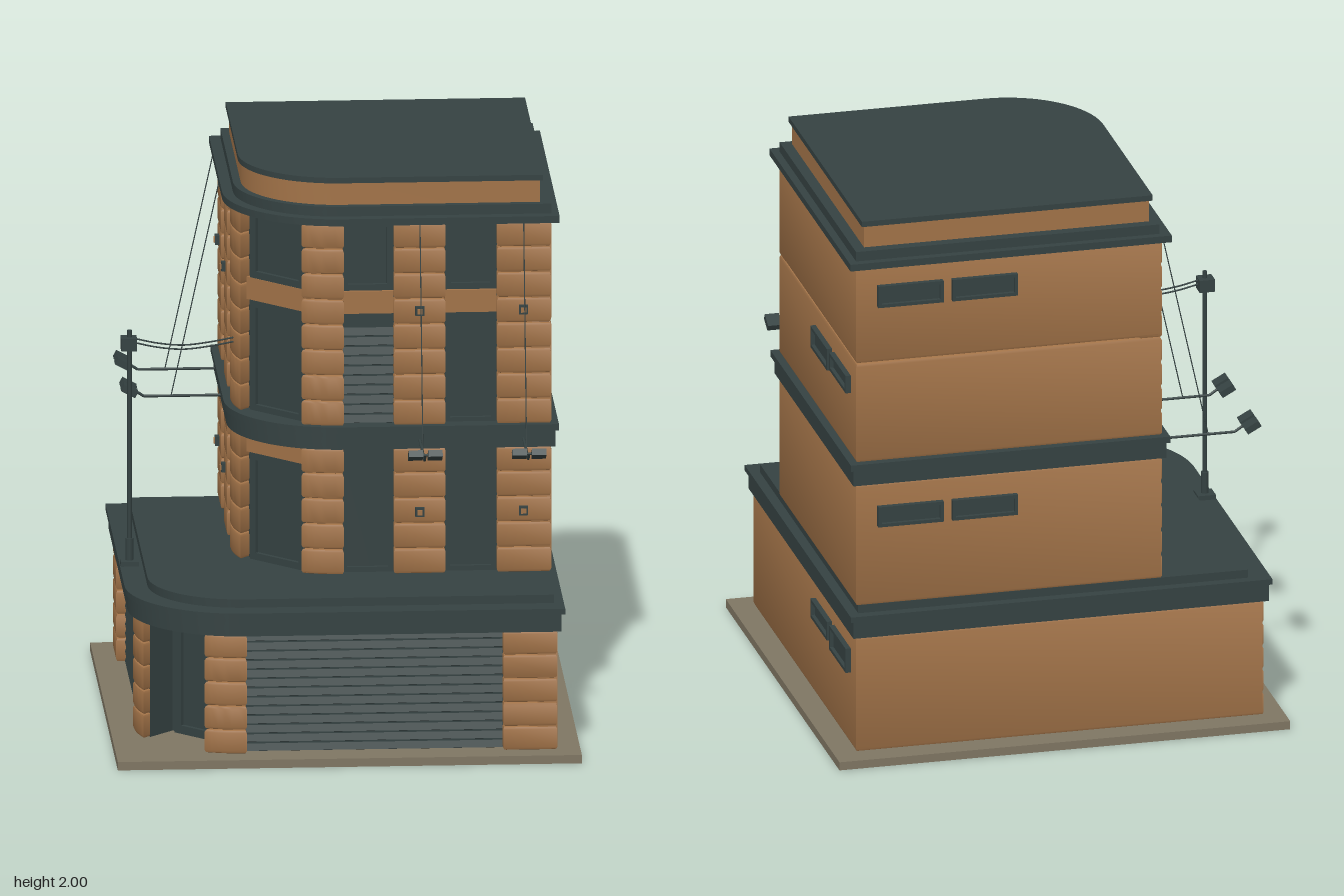
import * as THREE from 'three';
import { toCreasedNormals } from 'three/addons/utils/BufferGeometryUtils.js';

const brick = new THREE.MeshStandardMaterial({ name: 'brick brown', color: 0xa27348 });
const trim = new THREE.MeshStandardMaterial({ name: 'dark slate', color: 0x354242 });
const paving = new THREE.MeshStandardMaterial({ name: 'paving', color: 0x7f7663 });

function add(parent, name, geo, mat) {
  const mesh = new THREE.Mesh(geo, mat);
  mesh.name = name;
  parent.add(mesh);
  return mesh;
}

// Box given by its limits
function box(parent, name, mat, x0, x1, y0, y1, z0, z1) {
  const m = add(parent, name, new THREE.BoxGeometry(x1 - x0, y1 - y0, z1 - z0), mat);
  m.position.set((x0 + x1) / 2, (y0 + y1) / 2, (z0 + z1) / 2);
  return m;
}

// Upright prism over a plan of [x, z] points, with optional bevelled edges
function prism(parent, name, mat, plan, y0, y1, bevel = 0) {
  const shape = new THREE.Shape(plan.map(([x, z]) => new THREE.Vector2(x, -z)));
  const geo = new THREE.ExtrudeGeometry(shape, {
    depth: y1 - y0 - 2 * bevel, bevelEnabled: bevel > 0,
    bevelSize: bevel, bevelThickness: bevel, bevelOffset: -bevel, bevelSegments: 2,
  });
  geo.rotateX(-Math.PI / 2).translate(0, y0 + bevel, 0);
  return add(parent, name, toCreasedNormals(geo, 0.5), mat);
}

// Square plan with a round front right-hand street corner
function roundPlan(x0, x1, z0, z1, r) {
  const plan = [[x1, z1], [x1, z0], [x0, z0]];
  for (let i = 0; i <= 20; i++) {
    const a = (i / 20) * Math.PI / 2;
    plan.push([x0 + r - r * Math.cos(a), z1 - r + r * Math.sin(a)]);
  }
  return plan;
}

function rod(parent, name, a, b, r) {
  const from = new THREE.Vector3(...a), to = new THREE.Vector3(...b);
  const dir = to.clone().sub(from);
  const m = add(parent, name, new THREE.CylinderGeometry(r, r, dir.length(), 8), trim);
  m.position.copy(from).add(to).multiplyScalar(0.5);
  m.quaternion.setFromUnitVectors(new THREE.Vector3(0, 1, 0), dir.normalize());
}

// Window or door surround with a raised inner panel
function frame(parent, name, cx, y0, y1, w, out, t = 0.018) {
  const x0 = cx - w / 2, x1 = cx + w / 2, f = out + 0.014;
  box(parent, name + 'Left', trim, x0, x0 + t, y0, y1, out - 0.01, f);
  box(parent, name + 'Right', trim, x1 - t, x1, y0, y1, out - 0.01, f);
  box(parent, name + 'Top', trim, x0 + t, x1 - t, y1 - t, y1, out - 0.01, f);
  box(parent, name + 'Bottom', trim, x0 + t, x1 - t, y0, y0 + t, out - 0.01, f);
}

function slats(parent, name, x0, x1, y0, y1, n, out) {
  const step = (y1 - y0) / n;
  for (let i = 0; i < n; i++) {
    const y = y0 + i * step;
    const m = box(parent, name, trim, x0, x1, y + step * 0.08, y + step * 0.86, out - 0.006, out + 0.006);
    m.rotation.x = -0.3;
  }
}

// Stack of rusticated blocks
function pilaster(parent, plan, y0, y1, n) {
  const h = (y1 - y0) / n;
  for (let i = 0; i < n; i++) prism(parent, 'pilasterBlock', brick, plan, y0 + i * h, y0 + (i + 1) * h, 0.011);
}

const rect = (a, b, z0, z1) => [[a, z0], [b, z0], [b, z1], [a, z1]];

// Curved pilaster at the start of the round corner
function arcPlan(s, cx, cz, R) {
  const plan = [[s * (cx + 0.005), cz + R - 0.07], [s * (cx + 0.005), cz + R]];
  for (let i = 0; i <= 6; i++) {
    const a = (i / 6) * 0.39;
    plan.push([s * (cx - R * Math.sin(a)), cz + R * Math.cos(a)]);
  }
  const [ex, ez] = plan[plan.length - 1];
  plan.push([ex + s * 0.045, ez - 0.045]);
  return plan;
}

// One street facade, built facing +z; s = -1 gives the mirrored one on the side street
function facade(s) {
  const g = new THREE.Group();
  g.name = s > 0 ? 'frontFacade' : 'sideFacade';
  const span = (a, b) => (s > 0 ? [a, b] : [-b, -a]);

  // Ground floor
  pilaster(g, rect(...span(0.54, 0.728), 0.64, 0.735), 0.03, 0.46, 5);
  pilaster(g, arcPlan(s, -0.36, 0.36, 0.37), 0.03, 0.46, 5);
  slats(g, 'rollerShutterSlat', ...span(-0.36, 0.54), 0.03, 0.46, 13, 0.695);

  // Upper floors
  for (const [y0, y1, n] of [[0.575, 1.03, 5], [1.11, 1.84, 8]]) {
    pilaster(g, rect(...span(0.54, 0.728), 0.29, 0.37), y0, y1, n);
    pilaster(g, rect(...span(0.18, 0.36), 0.29, 0.37), y0, y1, n);
    pilaster(g, arcPlan(s, 0, 0, 0.37), y0, y1, n);
  }
  for (const u of [0.09, 0.45]) {
    frame(g, 'lowerWindowFrame', s * u, 0.575, 1.03, 0.18, 0.32);
    frame(g, 'topWindowFrame', s * u, 1.59, 1.84, 0.18, 0.32, 0.022);
    box(g, 'spandrel', brick, s * u - 0.09, s * u + 0.09, 1.51, 1.59, 0.31, 0.347);
  }
  frame(g, 'middleWindowFrame', s * 0.45, 1.11, 1.51, 0.18, 0.32);
  slats(g, 'louverSlat', ...span(0, 0.18), 1.11, 1.46, 10, 0.33);
  box(g, 'louverHeader', trim, ...span(0, 0.18), 1.465, 1.51, 0.31, 0.34);

  // Wall lamps, spotlights and their stay cables
  for (const u of [0.27, 0.632]) {
    const x = s * u;
    for (const y of [0.8, 1.525]) {
      box(g, 'wallLamp', trim, x - 0.016, x + 0.016, y - 0.016, y + 0.016, 0.36, 0.385);
      box(g, 'wallLampLens', brick, x - 0.009, x + 0.009, y - 0.009, y + 0.009, 0.385, 0.39);
    }
    rod(g, 'spotlightArm', [x, 1.06, 0.38], [x, 1.06, 0.655], 0.005);
    rod(g, 'spotlightBracket', [x, 1.06, 0.655], [x, 1.09, 0.7], 0.005);
    rod(g, 'spotlightBar', [x - 0.05, 1.09, 0.7], [x + 0.05, 1.09, 0.7], 0.004);
    rod(g, 'stayCable', [x, 1.85, 0.388], [x, 1.06, 0.56], 0.002);
    for (const d of [-0.034, 0.034]) {
      const head = box(g, 'spotlightHead', trim, x + d - 0.025, x + d + 0.025, 1.08, 1.104, 0.68, 0.735);
      head.rotation.x = -0.5;
    }
  }
  if (s < 0) g.rotation.y = -Math.PI / 2;
  return g;
}

// Small high windows on a blank wall, built facing +z
function blankWallWindows(name, s, heights, angle) {
  const g = new THREE.Group();
  g.name = name;
  for (const [ya, yb, yc] of heights) {
    for (const [u, y0] of [[0.27, ya], [0.537, yb]]) {
      const x = s * u;
      box(g, 'smallWindowGlass', trim, x - 0.115, x + 0.115, y0, yc, 0.72, 0.736);
      frame(g, 'smallWindowFrame', x, y0, yc, 0.235, 0.735, 0.012);
    }
  }
  g.rotation.y = angle;
  return g;
}

export function createModel() {
  const model = new THREE.Group();
  model.name = 'cornerBuilding';
  box(model, 'pavement', paving, -0.81, 0.81, 0, 0.03, -0.81, 0.81);

  // Recessed cores that show as glazing and shutter backs
  prism(model, 'groundCore', trim, [[0.69, 0.68], [0.69, -0.69], [-0.68, -0.69], [-0.68, 0.36],
    [-0.678, 0.478], [-0.594, 0.394], [-0.394, 0.594], [-0.478, 0.678], [-0.36, 0.68]], 0.03, 0.46);
  prism(model, 'upperCore', trim, [[0.69, 0.32], [0.69, -0.69], [-0.32, -0.69], [-0.32, 0],
    [-0.309, 0.109], [-0.109, 0.309], [0, 0.32]], 0.56, 1.85);

  // Blank brick walls on the two far sides
  for (const [y0, y1, f] of [[0.03, 0.46, 0.73], [0.575, 1.03, 0.365], [1.11, 1.48, 0.365], [1.48, 1.84, 0.365]]) {
    prism(model, 'blankWall', brick,
      [[0.73, -0.73], [0.73, f], [0.66, f], [0.66, -0.66], [-f, -0.66], [-f, -0.73]], y0, y1, 0.012);
  }

  // Cornices, parapet and roof: limits, corner radius, heights
  const layer = (name, mat, x0, x1, r, y0, y1) =>
    prism(model, name, mat, roundPlan(x0, x1, -x1, -x0, r), y0, y1);
  layer('groundCornice', trim, -0.75, 0.743, 0.39, 0.46, 0.525);
  layer('groundCorniceLip', trim, -0.76, 0.755, 0.4, 0.525, 0.545);
  layer('terrace', trim, -0.68, 0.72, 0.32, 0.545, 0.575);
  layer('middleCornice', trim, -0.383, 0.743, 0.383, 1.03, 1.09);
  layer('middleCorniceLip', trim, -0.393, 0.755, 0.393, 1.09, 1.113);
  layer('topCornice', trim, -0.398, 0.757, 0.398, 1.84, 1.865);
  layer('topCorniceStep', trim, -0.36, 0.73, 0.36, 1.865, 1.9);
  layer('parapet', brick, -0.333, 0.692, 0.333, 1.9, 1.98);
  layer('roof', trim, -0.343, 0.702, 0.343, 1.98, 2);

  model.add(facade(1), facade(-1));
  model.add(blankWallWindows('sideWindows', 1, [[0.32, 0.3, 0.39], [1.33, 1.345, 1.41]], Math.PI / 2));
  model.add(blankWallWindows('backWindows', -1, [[0.87, 0.87, 0.945], [1.69, 1.69, 1.77]], Math.PI));

  // Diagonal corner bay
  const upper = new THREE.Group();
  upper.name = 'cornerBay';
  upper.rotation.y = -Math.PI / 4;
  frame(upper, 'cornerLowerWindow', 0, 0.575, 0.96, 0.25, 0.296, 0.025);
  frame(upper, 'cornerMiddleWindow', 0, 1.11, 1.51, 0.25, 0.296, 0.025);
  frame(upper, 'cornerTopWindow', 0, 1.59, 1.84, 0.25, 0.296, 0.025);
  box(upper, 'cornerLintel', brick, -0.14, 0.14, 0.96, 1.03, 0.28, 0.312);
  box(upper, 'cornerSpandrel', brick, -0.14, 0.14, 1.51, 1.59, 0.28, 0.312);
  model.add(upper);

  // Corner entrance
  const entrance = new THREE.Group();
  entrance.name = 'cornerEntrance';
  entrance.position.set(-0.36, 0, 0.36);
  entrance.rotation.y = -Math.PI / 4;
  frame(entrance, 'entranceDoorFrame', 0, 0.03, 0.45, 0.24, 0.19, 0.03);
  box(entrance, 'entranceDoor', trim, -0.07, 0.07, 0.09, 0.42, 0.18, 0.196);
  model.add(entrance);

  // Utility pole with sagging wires
  const px = -0.725, pz = 0.07;
  box(model, 'poleFoot', trim, px - 0.032, px + 0.032, 0.545, 0.562, pz - 0.032, pz + 0.032);
  rod(model, 'poleBase', [px, 0.55, pz], [px, 0.64, pz], 0.014);
  rod(model, 'pole', [px, 0.64, pz], [px, 1.39, pz], 0.008);
  box(model, 'poleBox', trim, px - 0.03, px + 0.025, 1.32, 1.365, pz - 0.028, pz + 0.028);
  for (const y of [1.345, 1.36]) {
    const curve = new THREE.CatmullRomCurve3([[-0.71, y], [-0.63, y - 0.018], [-0.54, y - 0.027], [-0.45, y - 0.018], [-0.35, y]]
      .map(([x, h]) => new THREE.Vector3(x, h, pz)));
    add(model, 'wire', new THREE.TubeGeometry(curve, 20, 0.003, 6), trim);
  }
  return model;
}
